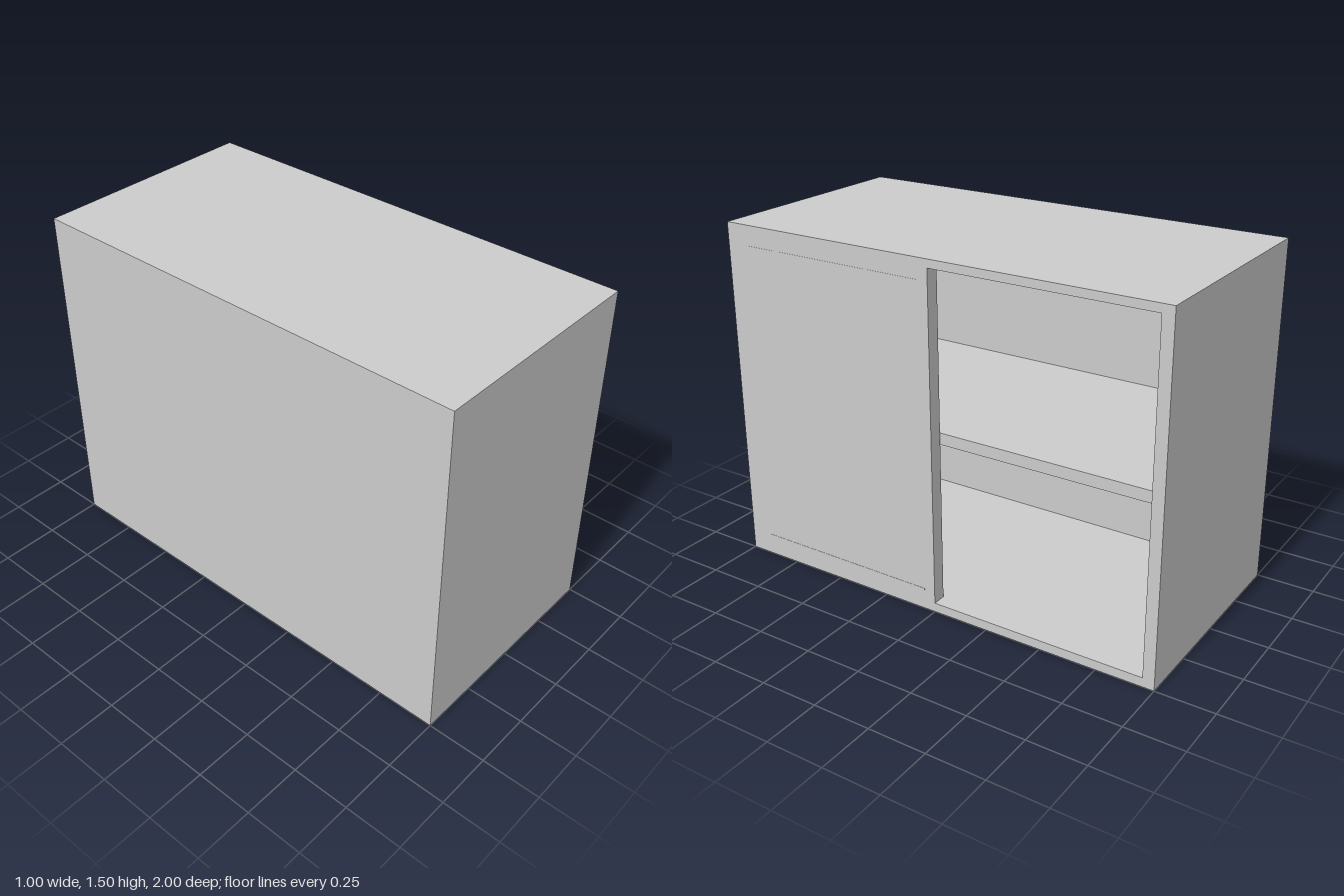
import * as THREE from 'three';

const material = new THREE.MeshStandardMaterial({ color: 0xcccccc, flatShading: true });

// Box given by its [min, max] extent on each axis
function panel(name, [x0, x1], [y0, y1], [z0, z1]) {
  const geometry = new THREE.BoxGeometry(x1 - x0, y1 - y0, z1 - z0);
  const mesh = new THREE.Mesh(geometry, material);
  mesh.position.set((x0 + x1) / 2, (y0 + y1) / 2, (z0 + z1) / 2);
  mesh.name = name;
  return mesh;
}

export function createModel() {
  const cabinet = new THREE.Group();
  cabinet.name = 'cabinet';

  const height = 1.5, floorTop = 0.04, ceiling = 1.465;
  const inner = [floorTop, ceiling];
  const innerZ = [-0.95, 0.95];

  // Carcass, open towards +x
  cabinet.add(
    panel('bottomPanel', [-0.5, 0.5], [0, floorTop], [-1, 1]),
    panel('topPanel', [-0.5, 0.5], [ceiling, height], [-1, 1]),
    panel('frontPanel', [-0.5, 0.5], inner, [0.95, 1]),
    panel('backPanel', [-0.5, 0.5], inner, [-1, -0.95]),
    panel('closedSidePanel', [-0.5, -0.45], inner, innerZ)
  );

  // Shelf set back behind the door
  cabinet.add(panel('shelf', [-0.45, 0.435], [0.73, 0.78], innerZ));

  // Sliding door covering half of the opening, with flush rails near its ends
  const door = new THREE.Group();
  door.name = 'slidingDoor';
  door.add(panel('doorPanel', [0.44, 0.5], inner, [0, 0.95]));
  for (const y of [0.09, 1.41]) {
    door.add(panel('doorRail', [0.49, 0.501], [y - 0.004, y + 0.004], [0.05, 0.9]));
  }
  cabinet.add(door);

  return cabinet;
}
